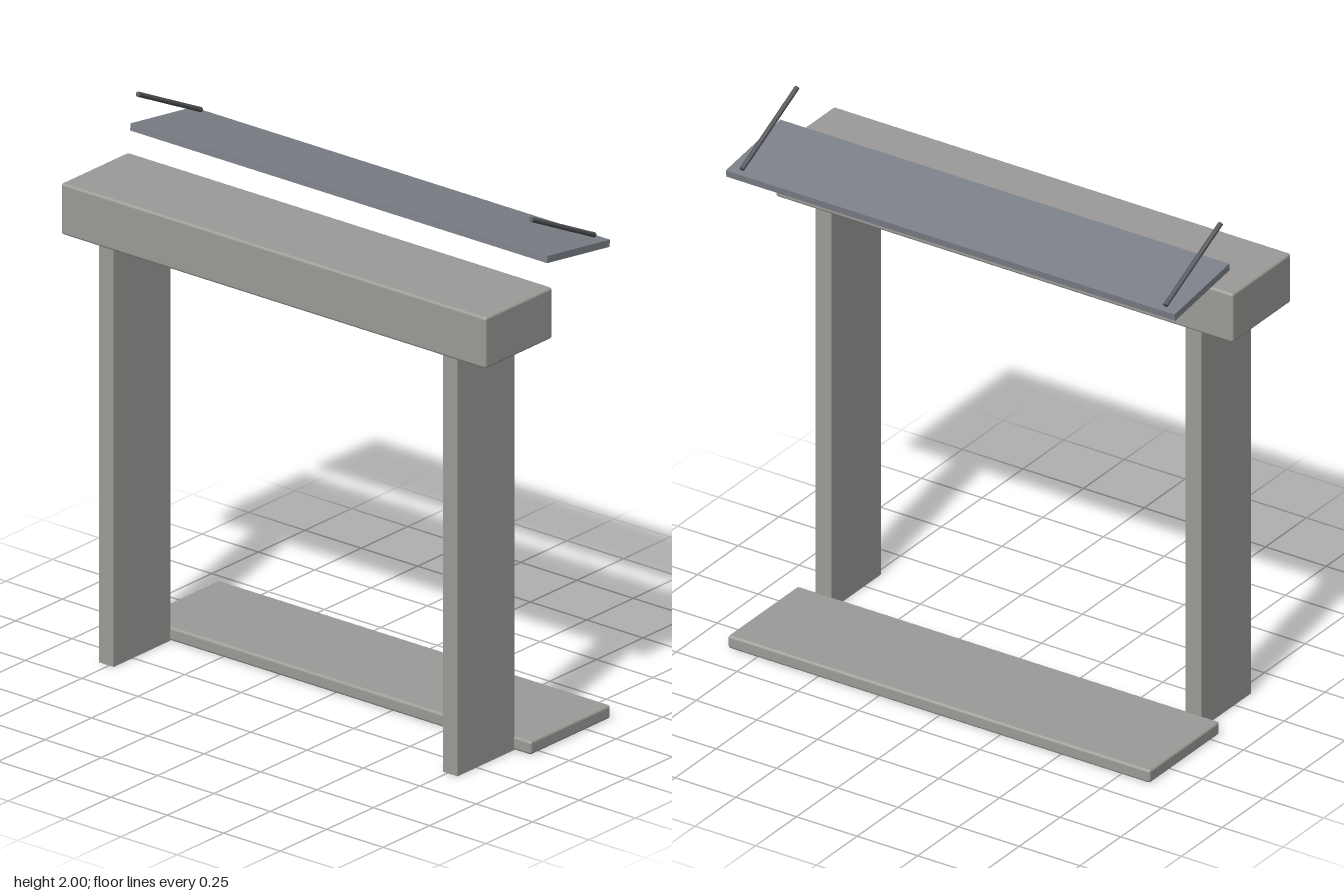
import * as THREE from 'three';
import { RoundedBoxGeometry } from 'three/addons/geometries/RoundedBoxGeometry.js';

export function createModel() {
  const model = new THREE.Group();
  model.name = 'shelterFrame';

  const material = (name, color) => {
    const m = new THREE.MeshStandardMaterial({ color });
    m.name = name;
    return m;
  };
  const stone = material('warm grey', 0x9c9b98);
  const slate = material('slate grey', 0x7c8088);
  const steel = material('dark steel', 0x55565a);

  const add = (name, geometry, mat, x, y, z) => {
    const mesh = new THREE.Mesh(geometry, mat);
    mesh.name = name;
    mesh.position.set(x, y, z);
    model.add(mesh);
    return mesh;
  };

  // Top beam and low rear shelf, both with softened edges
  add('topBeam', new RoundedBoxGeometry(1.885, 0.19, 0.36, 2, 0.01), stone, 0, 1.655, 0.2);
  add('baseShelf', new RoundedBoxGeometry(1.74, 0.05, 0.43, 2, 0.01), stone, 0, 0.03, -0.165);

  // Tilted canopy panel, front edge raised
  const canopy = add('canopyPanel', new THREE.BoxGeometry(1.85, 0.026, 0.338), slate, 0, 1.826, -0.14);
  canopy.rotation.x = -0.14;

  // Mirrored legs and canopy rods
  const rodBack = new THREE.Vector3(0, 1.826, -0.288);
  const rodFront = new THREE.Vector3(0, 1.992, 0.05);
  const rodAxis = rodFront.clone().sub(rodBack);
  const rodCentre = rodFront.clone().add(rodBack).multiplyScalar(0.5);
  for (const [side, s] of [['left', 1], ['right', -1]]) {
    add(side + 'Leg', new THREE.BoxGeometry(0.065, 1.555, 0.305), stone, s * 0.7625, 0.7825, 0.2);
    const rod = add(side + 'CanopyRod', new THREE.CylinderGeometry(0.009, 0.009, rodAxis.length(), 12),
      steel, s * 0.873, rodCentre.y, rodCentre.z);
    rod.quaternion.setFromUnitVectors(new THREE.Vector3(0, 1, 0), rodAxis.clone().normalize());
  }

  return model;
}
